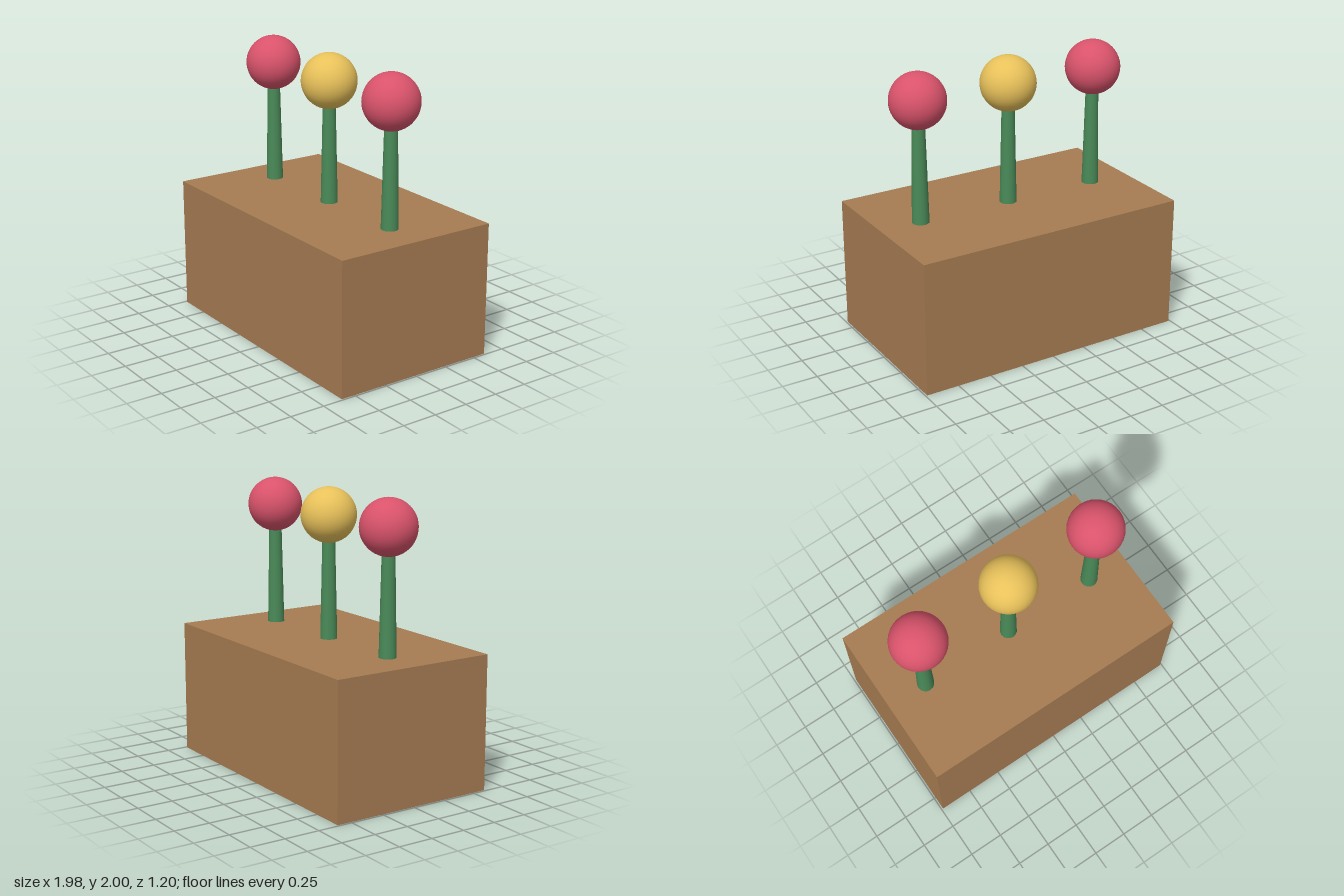
import * as THREE from 'three';

const mat = (color) => new THREE.MeshStandardMaterial({ color });

export function createModel() {
  const model = new THREE.Group();
  const wood = mat(0xa67c52), green = mat(0x4a8a58);
  const red = mat(0xd9536b), yellow = mat(0xe8c15a);

  const add = (name, geometry, material, x, y, parent = model) => {
    const mesh = new THREE.Mesh(geometry, material);
    mesh.name = name;
    mesh.position.set(x, y, 0);
    parent.add(mesh);
  };

  // Planter box, standing on the ground
  const boxTop = 0.945;
  add('planterBox', new THREE.BoxGeometry(1.976, boxTop, 1.2), wood, 0, boxTop / 2);

  // Three flowers: a tapered stem carrying a round bloom
  const radius = 0.193, stemHeight = 0.7;
  const stem = new THREE.CylinderGeometry(0.045, 0.06, stemHeight, 16);
  const bloom = new THREE.SphereGeometry(radius, 32, 24);
  [['rightFlower', -0.688, red], ['middleFlower', 0, yellow], ['leftFlower', 0.688, red]]
    .forEach(([name, x, color]) => {
      const flower = new THREE.Group();
      flower.name = name;
      flower.position.x = x;
      add('stem', stem, green, 0, boxTop + stemHeight / 2, flower);
      add('bloom', bloom, color, 0, 2 - radius, flower);
      model.add(flower);
    });

  return model;
}
